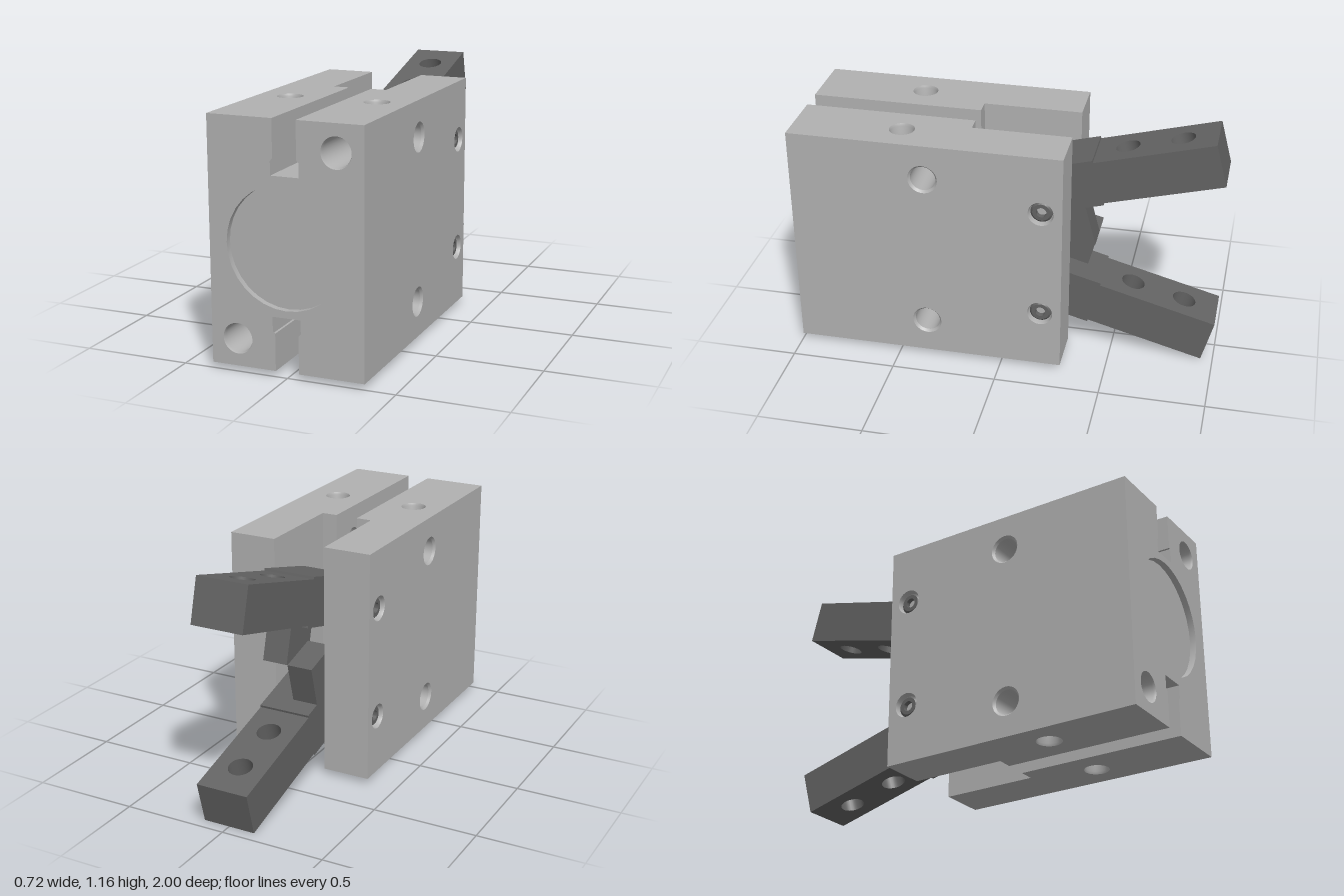
import * as THREE from 'three';
import { toCreasedNormals } from 'three/addons/utils/BufferGeometryUtils.js';

const W = 0.36, H = 0.555, BACK = -0.29, FRONT = 1;   // body half width, half height, depth range
const JAW = 0.13, JAW_END = 0.18;                     // jaw slot half width and inner end
const NECK = 0.055, WIDE = 0.066, SHOULDER = 0.385, FLOOR = 0.31; // sensor groove
const PIVOT_Y = 0.27, PIVOT_Z = -0.19, CROSS_Z = 0.36;
const UP = new THREE.Vector3(0, 1, 0);

const bodyMat = new THREE.MeshStandardMaterial({ color: 0xb0b0b0, side: THREE.DoubleSide });
bodyMat.name = 'light grey metal';
const jawMat = new THREE.MeshStandardMaterial({ color: 0x636363, side: THREE.DoubleSide });
jawMat.name = 'dark grey steel';

function add(parent, name, geometry, material = bodyMat) {
  const mesh = new THREE.Mesh(geometry, material);
  mesh.name = name;
  parent.add(mesh);
  return mesh;
}

const polygon = (points) => new THREE.Shape(points.map(([x, y]) => new THREE.Vector2(x, y)));
const rect = (x0, y0, x1, y1) => polygon([[x0, y0], [x1, y0], [x1, y1], [x0, y1]]);

function punch(shape, x, y, r) {
  shape.holes.push(new THREE.Path().absarc(x, y, r, 0, Math.PI * 2, true));
  return shape;
}

// Flat faces: shape axes become (x,y), (z,y) or (x,z)
const flat = (shape) => new THREE.ShapeGeometry(shape, 16);
const faceXY = (shape, z) => flat(shape).translate(0, 0, z);
const faceZY = (shape, x) => flat(shape).rotateY(-Math.PI / 2).translate(x, 0, 0);
const faceXZ = (shape, y) => flat(shape).rotateX(Math.PI / 2).translate(0, y, 0);

// Chamfered hole lining, going inwards from a face with the given outward axis
function bore(parent, name, pos, axis, R, r, depth, closed) {
  const pts = [[R, 0], [r, -0.012], [r, -depth]];
  if (closed) pts.push([0, -depth]);
  const lathe = new THREE.LatheGeometry(pts.map(([x, y]) => new THREE.Vector2(x, y)), 32);
  const mesh = add(parent, name, toCreasedNormals(lathe, 0.5));
  mesh.position.set(...pos);
  mesh.quaternion.setFromUnitVectors(UP, new THREE.Vector3(...axis));
}

// Cross-section with a T groove at top and bottom
function grooved(w) {
  const q = [[w, H], [NECK, H], [NECK, SHOULDER], [WIDE, SHOULDER - 0.012], [WIDE, FLOOR]];
  const top = [...q, ...q.map(([x, y]) => [-x, y]).reverse()];
  return polygon([...top, ...top.map(([x, y]) => [-x, -y])]);
}

function createBody() {
  const body = new THREE.Group();
  body.name = 'body';

  // Front with piston cap recess and two mounting holes
  const front = grooved(W);
  punch(front, 0, 0, 0.278);
  for (const s of [1, -1]) {
    punch(front, s * 0.235, s * 0.43, 0.07);
    bore(body, 'frontHole', [s * 0.235, s * 0.43, FRONT], [0, 0, 1], 0.07, 0.065, 0.28, true);
  }
  add(body, 'frontFace', faceXY(front, FRONT));
  bore(body, 'pistonCap', [0, 0, FRONT], [0, 0, 1], 0.278, 0.278, 0.03, true);
  add(body, 'jawSlotEnd', faceXY(grooved(JAW), JAW_END));

  for (const s of [1, -1]) {
    // Side with cross holes and pivot pin holes
    const side = rect(BACK, -H, FRONT, H);
    for (const t of [1, -1]) {
      punch(side, CROSS_Z, t * SHOULDER, 0.07);
      punch(side, PIVOT_Z, t * PIVOT_Y, 0.06);
      bore(body, 'crossHole', [s * W, t * SHOULDER, CROSS_Z], [s, 0, 0], 0.07, 0.06, 0.3, false);
      bore(body, 'pinHole', [s * W, t * PIVOT_Y, PIVOT_Z], [s, 0, 0], 0.06, 0.056, 0.228, false);
    }
    add(body, 'sideFace', faceZY(side, s * W));
    add(body, 'backFace', faceXY(rect(s * JAW, -H, s * W, H), BACK));
    add(body, 'jawSlotWall', faceZY(rect(BACK, -H, JAW_END, H), s * JAW));
  }

  // Top face and groove, repeated underneath
  for (const t of [1, -1]) {
    const half = new THREE.Group();
    half.name = t > 0 ? 'topSide' : 'bottomSide';
    if (t < 0) half.rotation.z = Math.PI;
    body.add(half);
    for (const s of [1, -1]) {
      const top = polygon([[W, BACK], [W, FRONT], [NECK, FRONT], [NECK, JAW_END],
        [JAW, JAW_END], [JAW, BACK]].map(([x, z]) => [s * x, z]));
      add(half, 'outerFace', faceXZ(punch(top, s * 0.21, 0.49, 0.06), H));
      bore(half, 'outerHole', [s * 0.21, H, 0.49], [0, 1, 0], 0.06, 0.055, 0.2, true);

      // Groove walls, notched where the cross hole passes
      const upper = new THREE.Shape();
      upper.moveTo(JAW_END, H).lineTo(JAW_END, SHOULDER);
      upper.absarc(CROSS_Z, SHOULDER, 0.06, Math.PI, 0, true);
      upper.lineTo(FRONT, SHOULDER).lineTo(FRONT, H);
      add(half, 'grooveNeckWall', faceZY(upper, s * NECK));
      const lower = new THREE.Shape();
      lower.moveTo(JAW_END, FLOOR).lineTo(JAW_END, SHOULDER);
      lower.absarc(CROSS_Z, SHOULDER, 0.06, Math.PI, Math.PI * 2, false);
      lower.lineTo(FRONT, SHOULDER).lineTo(FRONT, FLOOR);
      add(half, 'grooveLowerWall', faceZY(lower, s * WIDE));
      for (const [z0, z1] of [[JAW_END, CROSS_Z - 0.06], [CROSS_Z + 0.06, FRONT]])
        add(half, 'grooveLedge', faceXZ(rect(s * NECK, z0, s * WIDE, z1), SHOULDER));
    }
    add(half, 'grooveFloor', faceXZ(rect(-WIDE, JAW_END, WIDE, FRONT), FLOOR));
  }
  return body;
}

// Jaw in its own frame: pivot at the origin, finger towards -z
function createJaw() {
  const jaw = new THREE.Group();
  jaw.name = 'jaw';
  const w = 0.128;
  const box = (name, x0, x1, y0, y1, u0, u1) => add(jaw, name,
    new THREE.BoxGeometry(x1 - x0, y1 - y0, u1 - u0)
      .translate((x0 + x1) / 2, (y0 + y1) / 2, -(u0 + u1) / 2), jawMat);
  box('jawBase', -w, w, -0.117, 0.117, -0.143, 0.23);
  box('leverArm', 0.002, w, -0.318, -0.117, -0.06, 0.143);

  const plan = rect(-w, 0.23, w, 0.807);
  for (const u of [0.38, 0.64]) punch(plan, 0, u, 0.057);
  const finger = new THREE.ExtrudeGeometry(plan, { depth: 0.212, bevelEnabled: false, curveSegments: 16 })
    .rotateX(-Math.PI / 2).translate(0, -0.106, 0);
  add(jaw, 'finger', toCreasedNormals(finger, 0.5), jawMat);

  jaw.position.set(0, PIVOT_Y, PIVOT_Z);
  jaw.rotation.x = THREE.MathUtils.degToRad(15);
  return jaw;
}

// Pivot pin with a socket in each end
function createPin() {
  const pin = new THREE.Group();
  pin.name = 'pivotPin';
  const end = [[0.024, 0.31], [0.024, 0.345], [0.042, 0.345], [0.052, 0.335]];
  const profile = [...end, ...end.map(([r, y]) => [r, -y]).reverse()]
    .map(([r, y]) => new THREE.Vector2(r, y));
  const shaft = new THREE.LatheGeometry(profile, 32).rotateZ(Math.PI / 2);
  add(pin, 'pinShaft', toCreasedNormals(shaft, 0.5), jawMat);
  for (const s of [1, -1])
    add(pin, 'pinSocket', new THREE.CircleGeometry(0.024, 20).rotateY(s * Math.PI / 2).translate(s * 0.32, 0, 0));
  pin.position.set(0, PIVOT_Y, PIVOT_Z);
  return pin;
}

export function createModel() {
  const model = new THREE.Group();
  model.name = 'parallelGripper';
  const core = new THREE.Group();
  core.name = 'gripper';
  core.position.y = 0.58;
  core.add(createBody());
  // Upper jaw, and the same turned half round for the lower one
  for (const name of ['upperJaw', 'lowerJaw']) {
    const assembly = new THREE.Group();
    assembly.name = name;
    assembly.add(createJaw(), createPin());
    if (name === 'lowerJaw') assembly.rotation.z = Math.PI;
    core.add(assembly);
  }
  model.add(core);
  return model;
}
